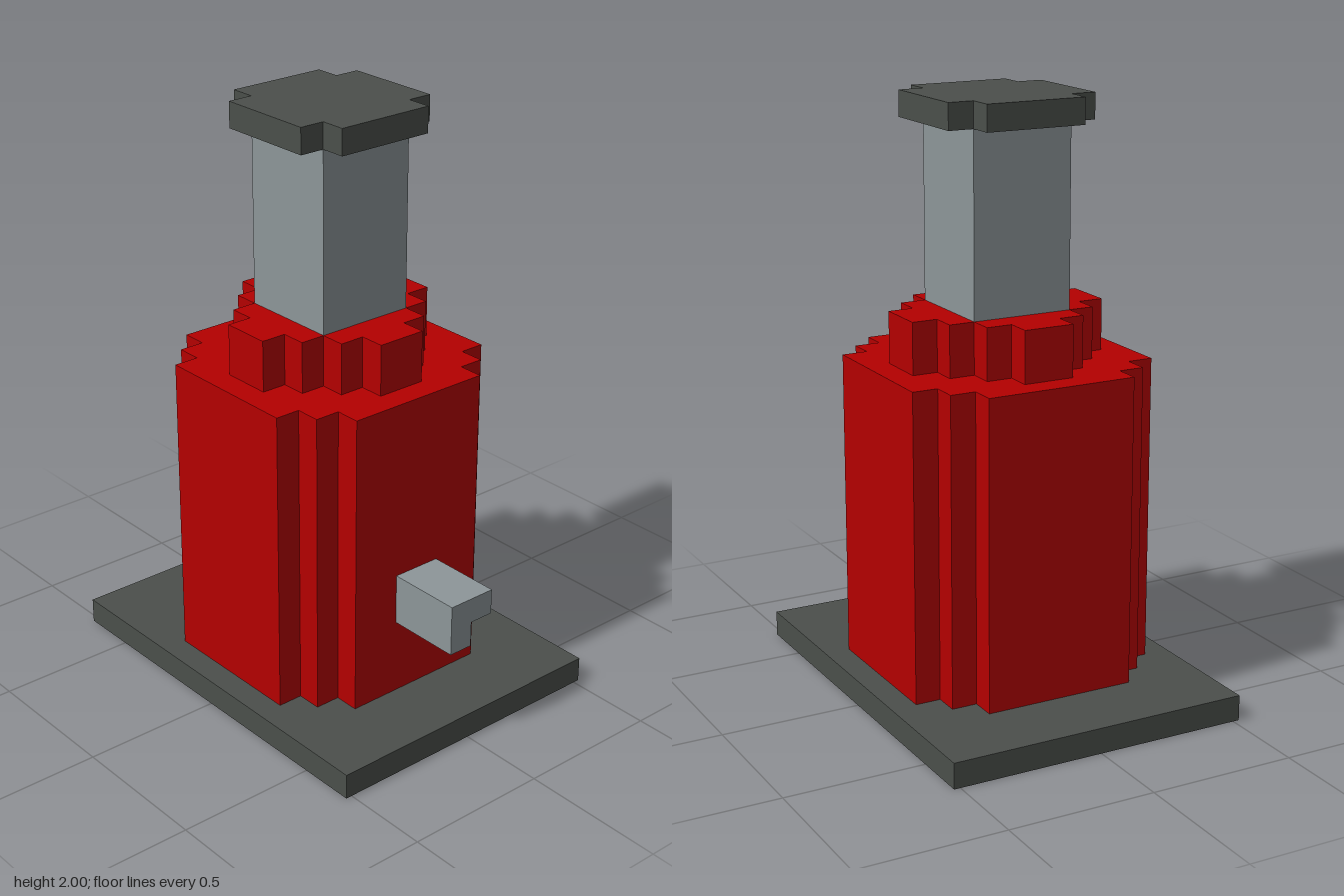
import * as THREE from 'three';

const U = 2 / 23; // one block; all sizes below are in blocks

const dark = new THREE.MeshStandardMaterial({ color: 0x4b4f4b });
dark.name = 'dark iron';
const red = new THREE.MeshStandardMaterial({ color: 0xb40000 });
red.name = 'red paint';
const grey = new THREE.MeshStandardMaterial({ color: 0x8d9699 });
grey.name = 'steel grey';

// Upright prism from a stepped outline, standing between y0 and y1.
// Each step is [half width x, half depth z], going from the +x side to the +z side.
function steppedPrism(name, steps, y0, y1, material) {
  const quarter = [];
  steps.forEach(([x, z], i) => {
    if (i > 0) quarter.push([x, steps[i - 1][1]]);
    quarter.push([x, z]);
  });
  const back = [...quarter].reverse();
  const outline = [
    ...quarter,
    ...back.map(([x, z]) => [-x, z]),
    ...quarter.map(([x, z]) => [-x, -z]),
    ...back.map(([x, z]) => [x, -z]),
  ];
  const shape = new THREE.Shape(outline.map(([x, z]) => new THREE.Vector2(x * U, z * U)));
  const geometry = new THREE.ExtrudeGeometry(shape, { depth: (y1 - y0) * U, bevelEnabled: false });
  geometry.rotateX(-Math.PI / 2);
  const mesh = new THREE.Mesh(geometry, material);
  mesh.name = name;
  mesh.position.y = y0 * U;
  return mesh;
}

export function createModel() {
  const model = new THREE.Group();
  model.name = 'bottleJack';

  model.add(
    steppedPrism('basePlate', [[8, 6]], 0, 1, dark),
    steppedPrism('body', [[5, 3], [4, 4], [3, 5]], 1, 13, red),
    // Collar with a lug on each side
    steppedPrism('collar', [[4, 1], [3, 2], [2, 3], [1, 4]], 13, 15, red),
    steppedPrism('ram', [[2, 2]], 15, 22, grey),
    steppedPrism('topPad', [[3, 2], [2, 3]], 22, 23, dark),
  );

  // L-shaped pump socket on the +x side
  const profile = new THREE.Shape(
    [[-1, 4], [0, 4], [0, 5], [1, 5], [1, 6], [-1, 6]].map(([a, y]) => new THREE.Vector2(a * U, y * U)),
  );
  const socketGeometry = new THREE.ExtrudeGeometry(profile, { depth: 3 * U, bevelEnabled: false });
  socketGeometry.rotateY(Math.PI / 2);
  const socket = new THREE.Mesh(socketGeometry, grey);
  socket.name = 'pumpSocket';
  socket.position.x = 5 * U;
  model.add(socket);

  return model;
}
